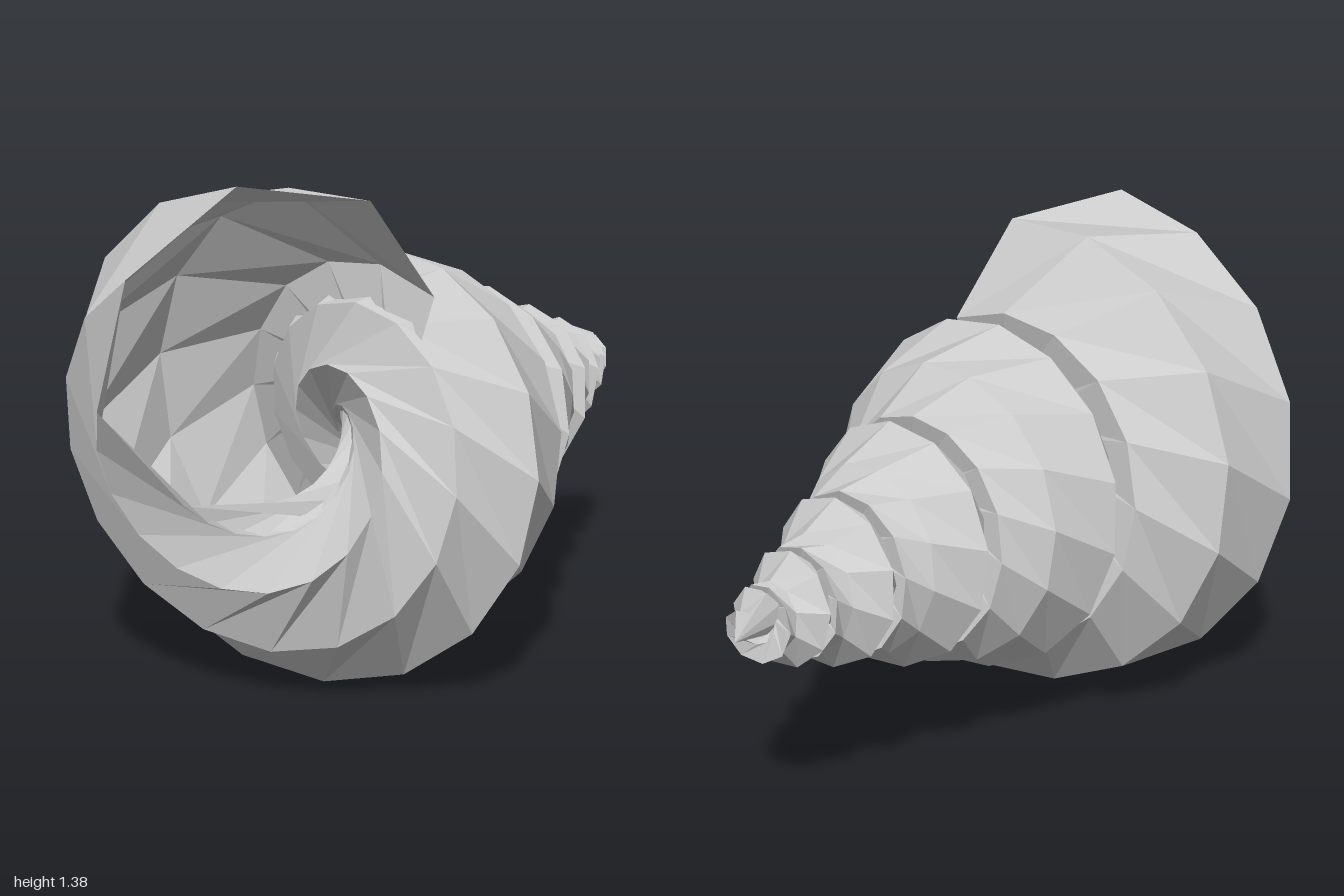
import * as THREE from 'three';

const GROWTH = 1.48;   // size ratio between neighbouring whorls
const TURNS = 5.1;     // mouth to tip
const FOCUS = new THREE.Vector3(0.05, 0.63, -1.17); // point the spiral shrinks towards
const TIP = [0.05, 0.63, -1];

// Tilted eight-cornered mouth, measured from the focus
const MOUTH = [
  [0.005, 0.76, 1.94],   // crest
  [-0.19, 0.54, 2.13],
  [-0.26, 0.21, 2.17],   // front lip
  [-0.15, -0.06, 1.98],
  [0.08, -0.11, 1.74],   // inner column
  [0.2, 0.1, 1.55],
  [0.27, 0.44, 1.48],    // suture
  [0.2, 0.705, 1.66],    // rear shoulder
];
const SIDES = MOUTH.length;
const SHOULDER = SIDES - 1;

// Mouth corner turned about the z axis and shrunk towards the focus
function place(i, turns) {
  const point = new THREE.Vector3(...MOUTH[i]);
  // The rear shoulder slopes more towards the tip
  if (i === SHOULDER) {
    const slope = 1 - 0.09 * turns;
    point.x *= slope;
    point.y *= slope;
  }
  return point
    .applyAxisAngle(new THREE.Vector3(0, 0, 1), turns * Math.PI * 2)
    .multiplyScalar(GROWTH ** -turns)
    .add(FOCUS);
}

function whorlGeometry() {
  const positions = [];
  const index = [];
  let rings = 0;
  // Sections get sparser after the first whorl
  for (let turns = 0; turns < TURNS; turns += (1 + 0.25 * Math.max(0, turns - 1)) / 16) {
    for (let i = 0; i < SIDES; i++) positions.push(...place(i, turns).toArray());
    rings++;
  }
  for (let r = 0; r < rings - 1; r++) {
    for (let i = 0; i < SIDES; i++) {
      const a = r * SIDES + i, b = r * SIDES + (i + 1) % SIDES;
      const c = a + SIDES, d = b + SIDES;
      index.push(a, c, d, a, d, b);
    }
  }
  // Close the small end with a pointed tip
  const last = (rings - 1) * SIDES;
  const tip = rings * SIDES;
  positions.push(...TIP);
  for (let i = 0; i < SIDES; i++) index.push(last + i, tip, last + (i + 1) % SIDES);

  const geometry = new THREE.BufferGeometry();
  geometry.setAttribute('position', new THREE.Float32BufferAttribute(positions, 3));
  geometry.setIndex(index);
  geometry.computeVertexNormals();
  return geometry;
}

export function createModel() {
  const group = new THREE.Group();
  group.name = 'spiralSeashell';
  const material = new THREE.MeshStandardMaterial({
    color: 0xcccccc, flatShading: true, side: THREE.DoubleSide,
  });
  const shell = new THREE.Mesh(whorlGeometry(), material);
  shell.name = 'shellWhorls';
  group.add(shell);
  return group;
}
